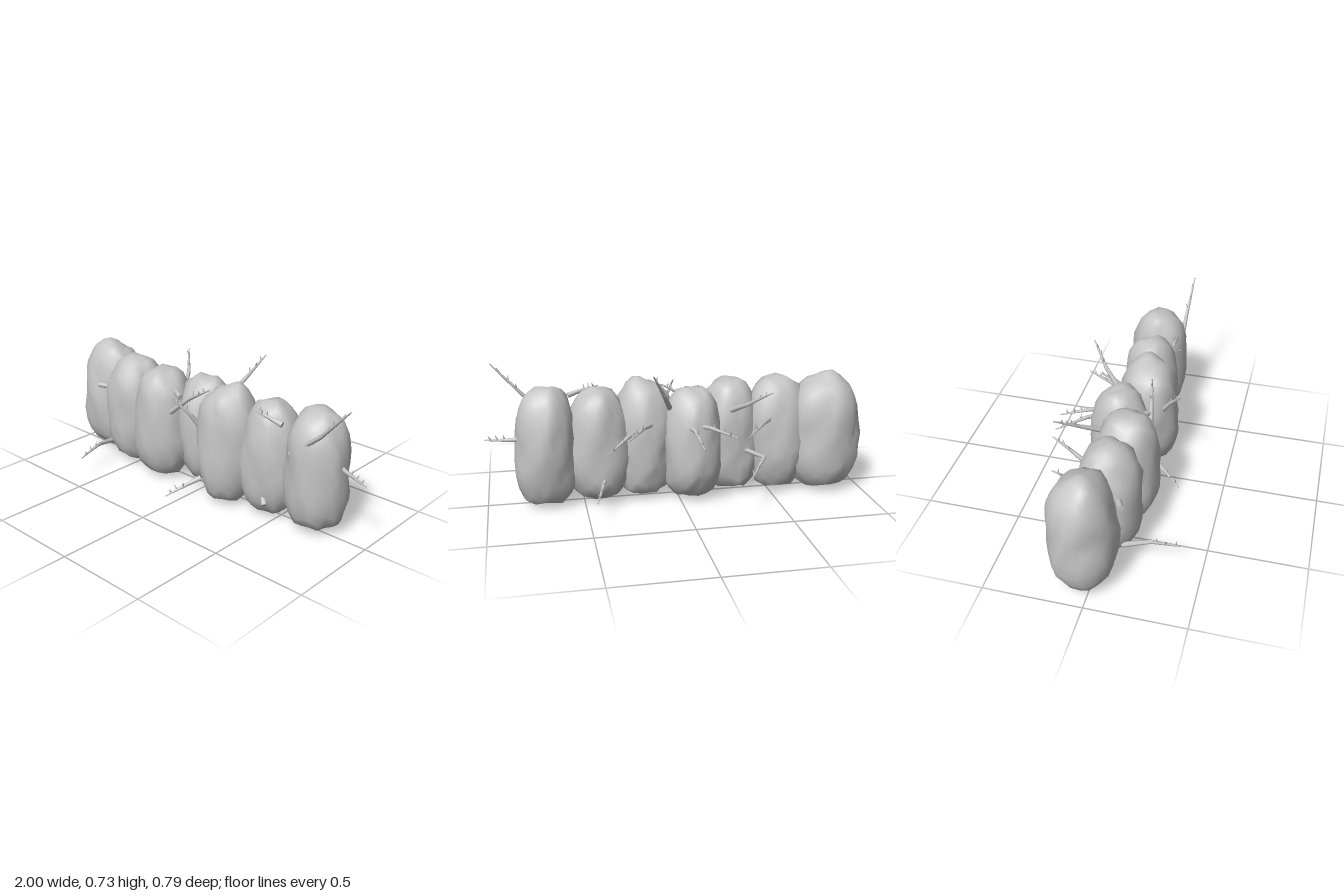
import * as THREE from 'three';
import { mergeVertices, mergeGeometries } from 'three/addons/utils/BufferGeometryUtils.js';

const grey = new THREE.MeshStandardMaterial({ color: 0xc4c4c4 });
grey.name = 'grey';

// Shrub clumps: centre x, centre z, half width, half depth, top height, peak x, peak z, peak height
const CLUMPS = [
  [-0.8, -0.05, 0.195, 0.165, 0.625, -0.83, -0.03, 0.045],
  [-0.55, 0.01, 0.17, 0.165, 0.622, -0.6, -0.04, 0.01],
  [-0.295, 0.04, 0.17, 0.16, 0.617, -0.26, 0.02, 0.012],
  [-0.07, -0.06, 0.155, 0.158, 0.602, -0.06, -0.05, 0.01],
  [0.17, 0.035, 0.17, 0.162, 0.628, 0.22, 0.02, 0.035],
  [0.42, -0.01, 0.165, 0.15, 0.605, 0.43, 0, 0.015],
  [0.69, -0.02, 0.16, 0.158, 0.632, 0.68, 0, 0.01],
];

// Twigs: base, bend, tip
const TWIGS = [
  [[0.62, 0.42, 0.11], [0.79, 0.56, 0.112], [0.95, 0.73, 0.125]],
  [[0.78, 0.37, -0.04], [0.87, 0.358, -0.01], [1, 0.35, 0.035]],
  [[0.03, 0.09, 0.1], [-0.01, 0.06, 0.16], [-0.075, 0.005, 0.265]],
  [[-0.66, 0.105, 0.1], [-0.63, 0.13, 0.24], [-0.6, 0.105, 0.395]],
  [[-0.2, 0.39, 0.13], [-0.05, 0.52, 0.1], [0.07, 0.59, 0.075]],
  [[0.06, 0.4, 0.13], [0.03, 0.48, 0.18], [-0.03, 0.57, 0.25]],
  [[0.56, 0.55, 0.1], [0.49, 0.57, 0.11], [0.4, 0.59, 0.12]],
  [[0.05, 0.5, -0.09], [0.1, 0.6, -0.18], [0.165, 0.72, -0.26]],
  [[-0.25, 0.46, -0.07], [-0.33, 0.53, -0.19], [-0.43, 0.615, -0.295]],
  [[-0.34, 0.25, -0.06], [-0.42, 0.25, -0.22], [-0.31, 0.185, -0.37]],
  [[-0.5, 0.42, -0.08], [-0.42, 0.43, -0.2], [-0.3, 0.41, -0.355]],
  [[-0.04, 0.42, -0.12], [-0.13, 0.43, -0.23], [-0.24, 0.41, -0.36]],
  [[-0.02, 0.43, -0.14], [-0.05, 0.42, -0.24], [-0.065, 0.37, -0.395]],
  [[0.13, 0.42, -0.07], [0.2, 0.435, -0.18], [0.3, 0.42, -0.335]],
  [[0.2, 0.39, -0.06], [0.29, 0.39, -0.19], [0.4, 0.345, -0.3]],
  [[0.38, 0.15, -0.06], [0.41, 0.155, -0.18], [0.46, 0.105, -0.33]],
];

// Cut ends of thick stems: inner end, outer end
const STUBS = [
  [[-0.62, 0.42, 0.06], [-0.745, 0.43, 0.12]],
  [[-0.2, 0.53, 0.06], [-0.115, 0.51, 0.1]],
  [[0.43, 0.16, 0.08], [0.485, 0.1, 0.125]],
];

// Repeatable value from 0 to 1 for a number
const hash = (n) => {
  const s = Math.sin(n * 127.1 + 3.7) * 43758.5453;
  return s - Math.floor(s);
};

// Lumpy upright clump, fullest below the middle, with a flat foot and a leafy peak
function clump([cx, cz, rx, rz, top, px, pz, peak], k) {
  const geo = new THREE.IcosahedronGeometry(1, 4);
  geo.deleteAttribute('normal');
  geo.deleteAttribute('uv');
  const g = mergeVertices(geo, 1e-4);
  const p = g.attributes.position;
  const d = new THREE.Vector3();
  const mid = (top + 0.005) / 2;
  for (let i = 0; i < p.count; i++) {
    d.fromBufferAttribute(p, i).normalize();
    const ring = Math.hypot(d.x, d.z);
    const block = Math.pow(ring ** 2.75 + Math.abs(d.y) ** 2.75, -1 / 2.75);
    const lumps =
      0.025 * Math.sin(4.3 * d.x + 3.4 * d.y + k * 1.9) +
      0.025 * Math.sin(5.1 * d.z - 4.2 * d.y + k * 2.7) +
      0.03 * Math.sin(8.5 * d.x - 6.5 * d.z + 7 * d.y + k);
    // Lumps and roughness fade towards the crown and foot
    const side = 0.3 + 0.7 * ring;
    const r = block * (1 + side * (lumps + 0.06 * (hash(i + k * 971) - 0.5)));
    const taper = 1 - 0.05 * d.y * block;
    const x = cx + d.x * r * rx * taper;
    const z = cz + d.z * r * rz * taper;
    let y = mid + d.y * r * (top - mid);
    if (d.y > 0) y += Math.max(0, peak - 0.5 * Math.hypot(x - px, z - pz));
    p.setXYZ(i, x, Math.max(y, 0.024 + 0.008 * hash(i + k)), z);
  }
  g.computeVertexNormals();
  return g;
}

// Tapered rod between two points
function rod(a, b, ra, rb, sides = 7) {
  const dir = b.clone().sub(a);
  const g = new THREE.CylinderGeometry(rb, ra, dir.length(), sides);
  const q = new THREE.Quaternion().setFromUnitVectors(new THREE.Vector3(0, 1, 0), dir.normalize());
  g.applyQuaternion(q);
  const m = a.clone().add(b).multiplyScalar(0.5);
  return g.translate(m.x, m.y, m.z);
}

const vec = (a) => new THREE.Vector3(...a);

// Bent twig with upright thorns on its outer part
function twig([a, b, c], k) {
  const [base, bend, tip] = [vec(a), vec(b), vec(c)];
  const parts = [
    rod(base, bend, 0.015, 0.0105),
    rod(bend, tip, 0.0105, 0.003),
    new THREE.SphereGeometry(0.0105, 7, 5).translate(...b),
  ];
  for (let j = 0; j < 3; j++) {
    const root = bend.clone().lerp(tip, 0.2 + j * 0.27);
    const lean = new THREE.Vector3((hash(k * 9 + j) - 0.5) * 0.03, 0.032 - j * 0.003, (hash(k * 7 + j + 40) - 0.5) * 0.03);
    parts.push(rod(root, root.clone().add(lean), 0.007, 0.0004, 5));
  }
  return mergeGeometries(parts);
}

export function createModel() {
  const model = new THREE.Group();
  model.name = 'thornyHedge';
  const add = (name, geo) => {
    const mesh = new THREE.Mesh(geo, grey);
    mesh.name = name;
    model.add(mesh);
  };
  CLUMPS.forEach((c, i) => add(`clump${i + 1}`, clump(c, i + 1)));
  TWIGS.forEach((t, i) => add(`thornTwig${i + 1}`, twig(t, i + 1)));
  STUBS.forEach(([a, b], i) => add(`stemStub${i + 1}`, rod(vec(a), vec(b), 0.014, 0.016)));
  return model;
}
